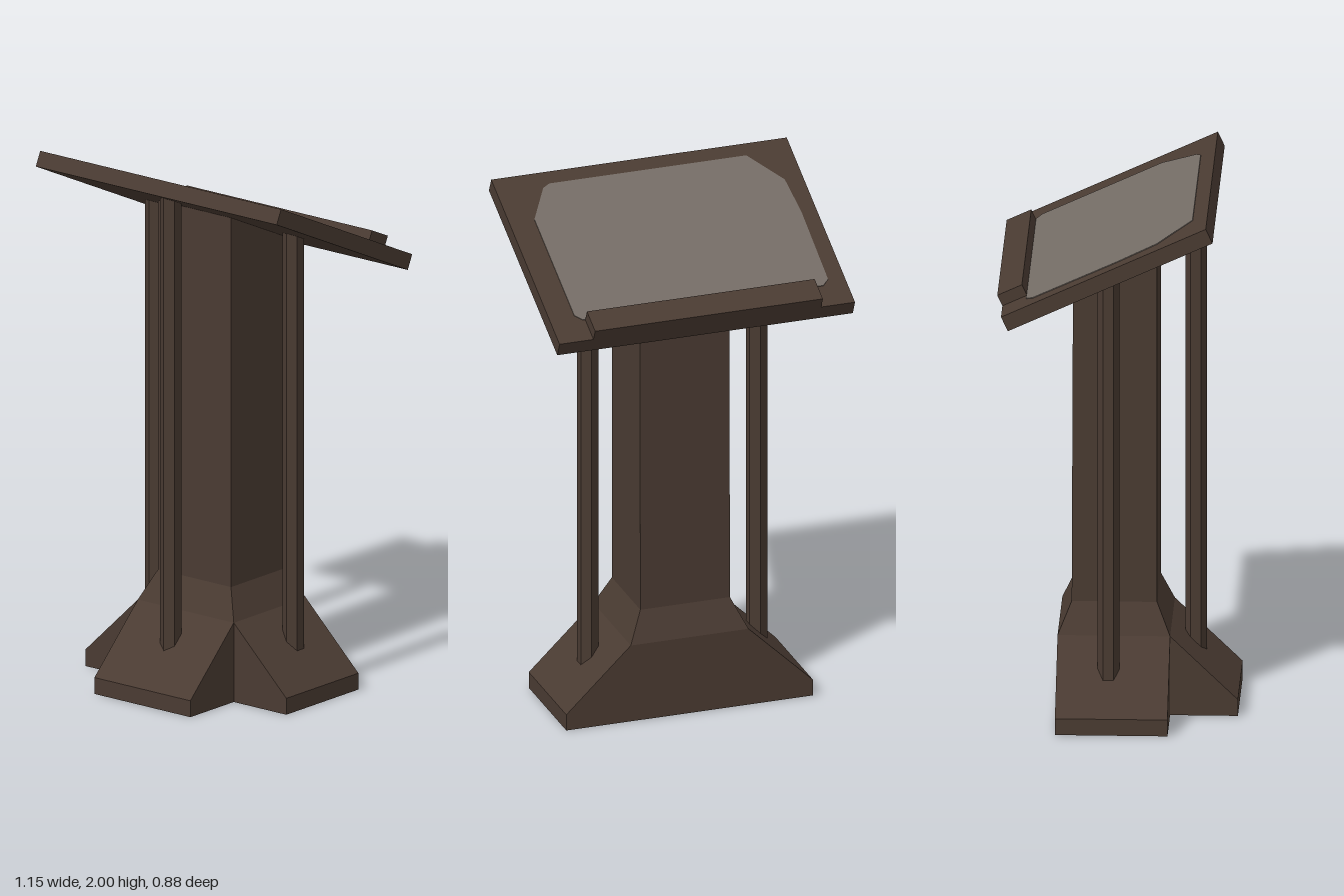
import * as THREE from 'three';

const TILT = 0.434;
// height of the board's underside at depth z
const underside = z => 1.945 + (z - 0.36) * Math.tan(TILT);

// flat-faced surface from convex polygons, each a loop of corners
function surface(polys) {
  const pos = [];
  for (const p of polys)
    for (let i = 1; i < p.length - 1; i++) pos.push(...p[0], ...p[i], ...p[i + 1]);
  const g = new THREE.BufferGeometry();
  g.setAttribute('position', new THREE.Float32BufferAttribute(pos, 3));
  g.computeVertexNormals();
  return g;
}

const mirrored = p => p.map(([x, y, z]) => [-x, y, z]).reverse();

export function createModel() {
  const model = new THREE.Group();
  model.name = 'lectern';
  const wood = new THREE.MeshStandardMaterial({ color: 0x4a3b32, flatShading: true, side: THREE.DoubleSide });
  wood.name = 'dark wood';
  const pad = new THREE.MeshStandardMaterial({ color: 0x746c65 });
  pad.name = 'grey pad';

  const add = (name, geo, mat, parent = model) => {
    const m = new THREE.Mesh(geo, mat);
    m.name = name;
    parent.add(m);
    return m;
  };

  // column with sloped top, flaring into the base
  const ring = (x, zf, zb, yf, yb) => [[x, yf, zf], [x, yb, zb], [-x, yb, zb], [-x, yf, zf]];
  const rings = [
    ring(0.23, 0.19, -0.225, 0.305, 0.305),
    ring(0.175, 0.14, -0.175, 0.42, 0.42),
    ring(0.175, 0.14, -0.17, underside(0.14), underside(-0.17)),
  ];
  const bands = [0, 1].map(r => [0, 1, 2, 3].map(i => {
    const j = (i + 1) % 4;
    return [rings[r][i], rings[r][j], rings[r + 1][j], rings[r + 1][i]];
  }));
  add('baseFlare', surface(bands[0]), wood);
  add('column', surface(bands[1]), wood);

  // hollow base: front foot and two side feet, flat at the back
  const w = 0.23, h = 0.305, t = 0.063, f = 0.19, F = 0.44, b = -0.225, X = 0.482;
  const footSide = [[w, 0, F], [w, 0, f], [w, h, f], [w, t, F]];
  add('frontFoot', surface([
    [[-w, t, F], [w, t, F], [w, h, f], [-w, h, f]],
    [[-w, 0, F], [w, 0, F], [w, t, F], [-w, t, F]],
    footSide, mirrored(footSide),
  ]), wood);
  const sideFoot = [
    [[X, t, f], [X, t, b], [w, h, b], [w, h, f]],
    [[X, 0, f], [X, 0, b], [X, t, b], [X, t, f]],
    [[w, 0, f], [X, 0, f], [X, t, f], [w, h, f]],
  ];
  add('leftFoot', surface(sideFoot), wood);
  add('rightFoot', surface(sideFoot.map(mirrored)), wood);
  add('backWall', surface([
    [[X, 0, b], [-X, 0, b], [-X, t, b], [-w, h, b], [w, h, b], [X, t, b]],
  ]), wood);

  // hexagonal posts running from inside the feet up into the board
  for (const [name, x, z] of [['frontPost', 0, 0.277], ['leftPost', 0.33, -0.033], ['rightPost', -0.33, -0.033]]) {
    const y0 = 0.02, y1 = underside(z) + 0.022;
    add(name, new THREE.CylinderGeometry(0.04, 0.04, y1 - y0, 6), wood).position.set(x, (y0 + y1) / 2, z);
  }

  // tilted reading board with ledge and pad
  const top = new THREE.Group();
  top.name = 'readingTop';
  top.position.set(0, 1.7975, -0.03);
  top.rotation.x = -TILT;
  model.add(top);
  add('board', new THREE.BoxGeometry(1.155, 0.06, 0.832), wood, top);
  add('ledge', new THREE.BoxGeometry(0.89, 0.045, 0.1), wood, top).position.set(0, 0.0525, -0.366);

  const outline = [
    [-0.40, 0.356], [0.37, 0.356], [0.40, 0.338], [0.48, 0.195], [0.48, -0.29],
    [0.455, -0.317], [-0.485, -0.317], [-0.512, -0.29], [-0.517, 0.05], [-0.505, 0.215],
  ].map(([x, z]) => new THREE.Vector2(x, -z));
  const padGeo = new THREE.ExtrudeGeometry(new THREE.Shape(outline), { depth: 0.003, bevelEnabled: false });
  padGeo.rotateX(-Math.PI / 2);
  add('readingPad', padGeo, pad, top).position.y = 0.03;

  return model;
}
